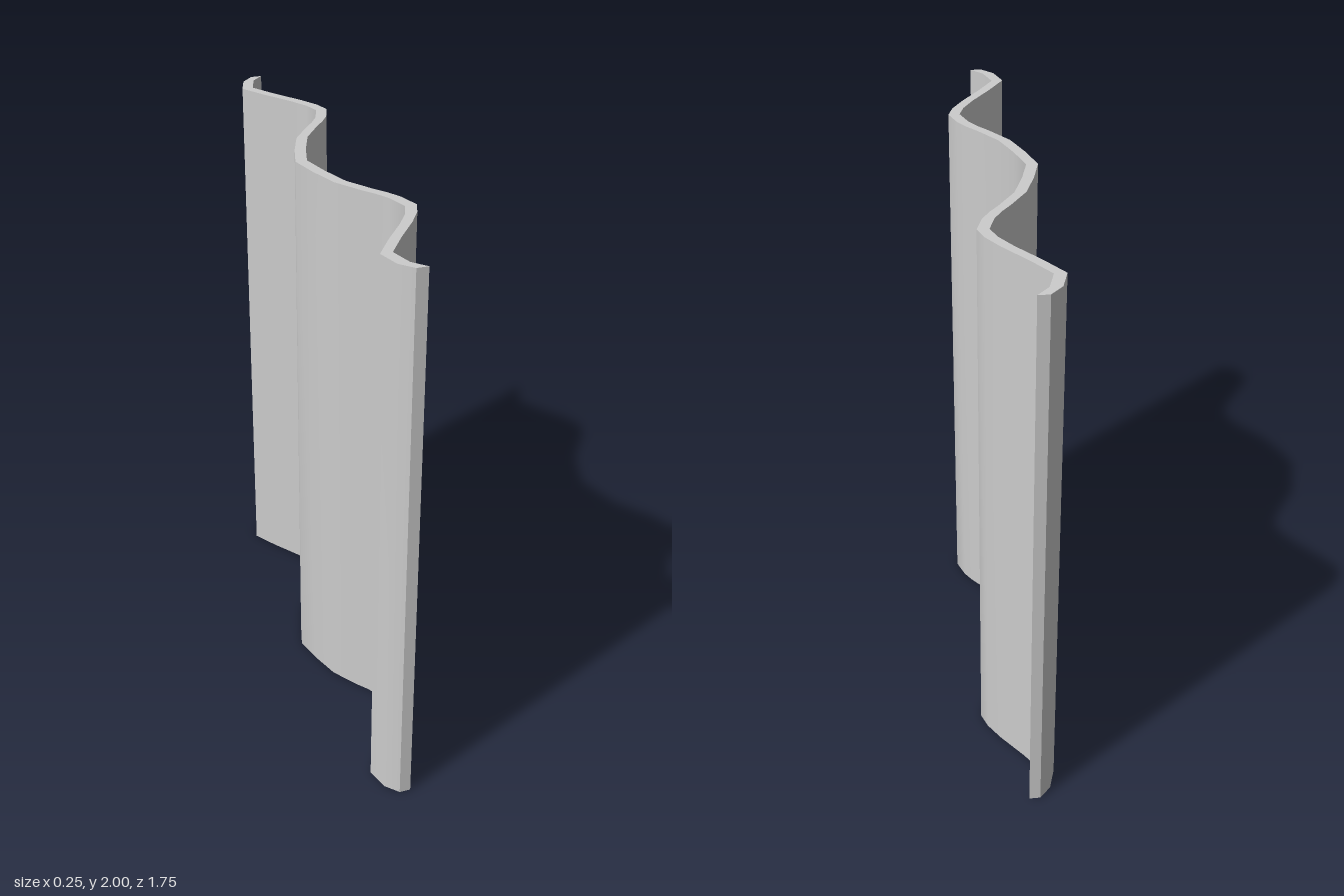
import * as THREE from 'three';
import { toCreasedNormals } from 'three/addons/utils/BufferGeometryUtils.js';

export function createModel() {
  const group = new THREE.Group();
  group.name = 'corrugatedPanel';
  const height = 2, thickness = 0.039;

  // Half of the wave, from the middle trough to one end: [x, z]
  const half = [
    [-0.127, 0], [-0.1, 0.1], [-0.062, 0.205], [0, 0.295], [0.032, 0.335], [0.06, 0.38],
    [0.084, 0.45], [0.065, 0.505], [0.025, 0.57], [-0.045, 0.665],
    [-0.103, 0.753], [-0.079, 0.83], [-0.038, 0.873],
  ];

  // Mirror into the full wave, then close it with a copy shifted by the thickness
  const wave = [
    ...half.slice(1).reverse().map(([x, z]) => [x, -z]),
    ...half,
  ];
  const back = wave.map(([x, z]) => [x + thickness, z]).reverse();
  const outline = new THREE.Shape([...wave, ...back].map(([x, z]) => new THREE.Vector2(x, -z)));

  // Extrude upwards; gentle bends stay smooth, sharp folds stay creased
  const extruded = new THREE.ExtrudeGeometry(outline, { depth: height, bevelEnabled: false });
  extruded.rotateX(-Math.PI / 2);
  const sheet = new THREE.Mesh(
    toCreasedNormals(extruded, 0.7),
    new THREE.MeshStandardMaterial({ color: 0xcccccc })
  );
  sheet.name = 'wavySheet';
  group.add(sheet);
  return group;
}
